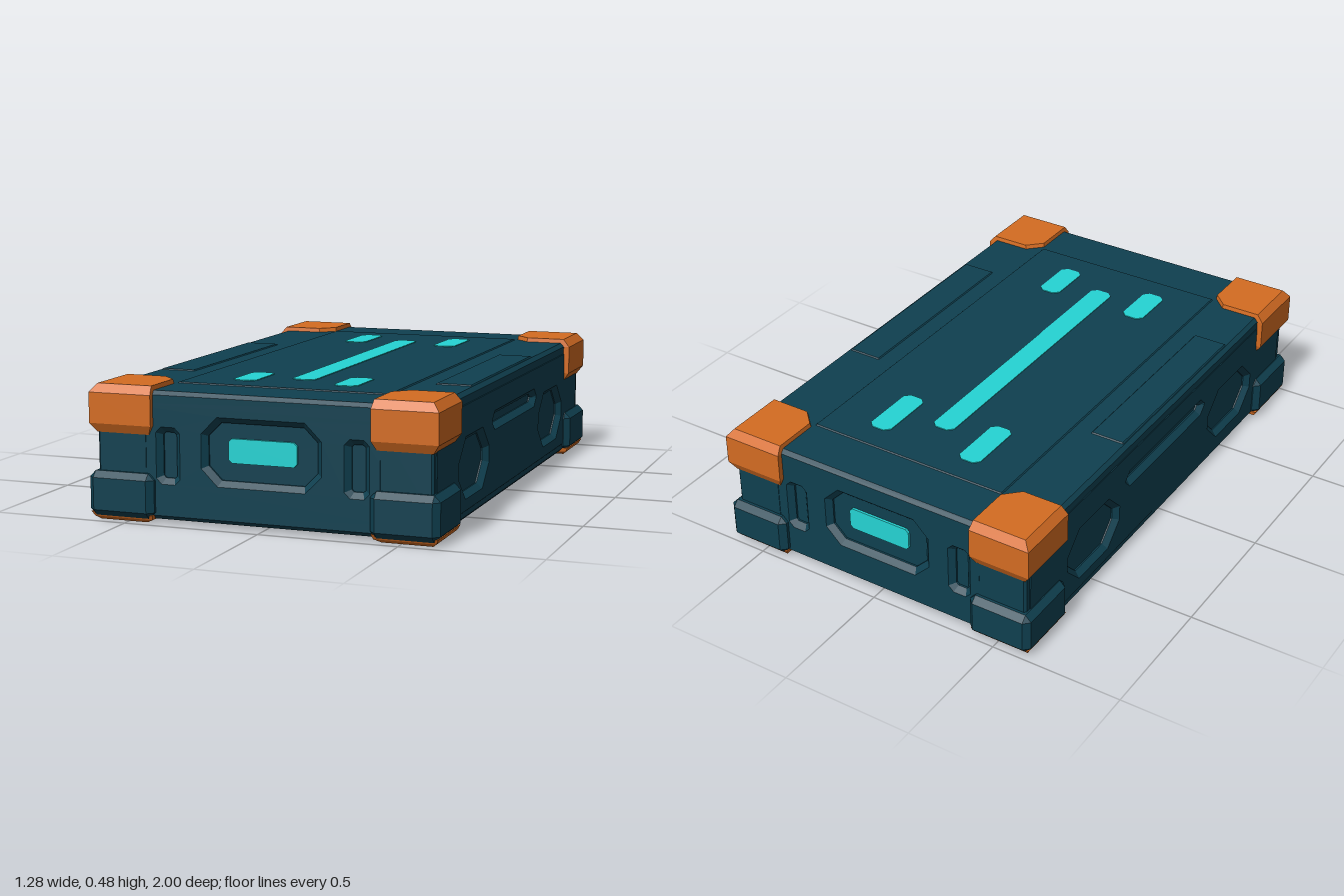
import * as THREE from 'three';
import { ConvexGeometry } from 'three/addons/geometries/ConvexGeometry.js';

export function createModel() {
  const root = new THREE.Group();
  root.name = 'storageCrate';
  const mat = (name, color) => {
    const m = new THREE.MeshStandardMaterial({ color });
    m.name = name;
    return m;
  };
  const teal = mat('dark teal shell', 0x0f4050);
  const orange = mat('orange guard', 0xd46c22);
  const cyan = mat('cyan light', 0x25d4d4);

  const add = (name, geo, material, x = 0, y = 0, z = 0) => {
    const m = new THREE.Mesh(geo, material);
    m.name = name;
    m.position.set(x, y, z);
    root.add(m);
    return m;
  };

  // Box with every edge and corner cut by c
  const chamferBox = (w, h, d, c) => {
    const pts = [];
    for (const x of [-1, 1]) for (const y of [-1, 1]) for (const z of [-1, 1])
      for (let k = 0; k < 3; k++)
        pts.push(new THREE.Vector3(
          x * (w / 2 - (k === 0 ? 0 : c)),
          y * (h / 2 - (k === 1 ? 0 : c)),
          z * (d / 2 - (k === 2 ? 0 : c))));
    return new ConvexGeometry(pts);
  };
  // Chamfered block from min and max corners
  const block = (name, material, a, b, c) =>
    add(name, chamferBox(b[0] - a[0], b[1] - a[1], b[2] - a[2], c), material,
      (a[0] + b[0]) / 2, (a[1] + b[1]) / 2, (a[2] + b[2]) / 2);

  // Octagonal outline centred on (x, y)
  const octagon = (target, x, y, w, h, c) => {
    const a = w / 2, b = h / 2;
    return target.setFromPoints([
      [-a + c, -b], [a - c, -b], [a, -b + c], [a, b - c],
      [a - c, b], [-a + c, b], [-a, b - c], [-a, -b + c], [-a + c, -b],
    ].map(([u, v]) => new THREE.Vector2(x + u, y + v)));
  };

  // Wall panel with sloping-edged recesses; outer face at local z = 0
  const wallPanel = (w, recesses) => {
    const s = octagon(new THREE.Shape(), 0, 0.235, w - 0.04, 0.37, 0.02);
    for (const r of recesses) s.holes.push(octagon(new THREE.Path(), ...r));
    return new THREE.ExtrudeGeometry(s, {
      depth: 0.02, bevelThickness: 0.02, bevelSize: 0.02, bevelSegments: 1, steps: 1,
    }).translate(0, 0, -0.04);
  };

  // Core and the top and bottom plates
  block('core', teal, [-0.59, 0.03, -0.94], [0.59, 0.45, 0.94], 0.01);
  block('topPlate', teal, [-0.613, 0.4, -0.967], [0.613, 0.464, 0.967], 0.014);
  block('bottomPlate', teal, [-0.613, 0.015, -0.967], [0.613, 0.08, 0.967], 0.014);
  block('lidPanel', teal, [-0.4, 0.44, -0.78], [0.4, 0.468, 0.78], 0.008);

  for (const s of [1, -1]) {
    const yaw = s > 0 ? 0 : Math.PI;

    // End walls with a lamp recess and two grip slots
    add('endWall', wallPanel(1.22, [
      [0, 0.265, 0.44, 0.24, 0.06], [0.345, 0.24, 0.09, 0.2, 0.02], [-0.345, 0.24, 0.09, 0.2, 0.02],
    ]), teal, 0, 0, s * 0.967).rotation.y = yaw;

    // Long walls with recesses either side of a raised middle
    add('sideWall', wallPanel(1.92, [
      [0.52, 0.2, 0.36, 0.22, 0.08], [-0.52, 0.2, 0.36, 0.22, 0.08], [0, 0.31, 0.6, 0.07, 0.03],
    ]), teal, s * 0.615, 0, 0).rotation.y = s * Math.PI / 2;

    // End lamp
    add('endLamp', new THREE.ExtrudeGeometry(
      octagon(new THREE.Shape(), 0, 0.27, 0.25, 0.085, 0.012),
      { depth: 0.009, bevelEnabled: false }), cyan, 0, 0, s * 0.941).rotation.y = yaw;

    // Low rails on the lid edges
    block('lidRail', teal, [s * 0.53 - 0.07, 0.44, -0.3], [s * 0.53 + 0.07, 0.468, 0.5], 0.008);
  }

  // Corner pieces: post, foot block, top guard and sole
  const cutPlan = (w, d, cut) => [[0, cut], [cut, 0], [w, 0], [w, d], [0, d]];
  for (const sx of [1, -1]) for (const sz of [1, -1]) {
    const span = (x0, x1, z0, z1) => [
      Math.min(sx * x0, sx * x1), Math.max(sx * x0, sx * x1),
      Math.min(sz * z0, sz * z1), Math.max(sz * z0, sz * z1)];
    const corner = (name, x0, x1, y0, y1, z0, z1, c) => {
      const [a, b, e, f] = span(x0, x1, z0, z1);
      block(name, teal, [a, y0, e], [b, y1, f], c);
    };
    corner('cornerPost', 0.42, 0.612, 0.1, 0.4, 0.76, 0.968, 0.008);
    corner('cornerFoot', 0.395, 0.64, 0.017, 0.175, 0.735, 1, 0.022);

    // Layers of a plan with its inner corner cut: [y, x0, x1, z0, z1]
    const guard = (name, layers, cut) => {
      const pts = [];
      for (const [y, x0, x1, z0, z1] of layers)
        for (const [u, v] of cutPlan(x1 - x0, z1 - z0, cut))
          pts.push(new THREE.Vector3(sx * (x0 + u), y, sz * (z0 + v)));
      add(name, new ConvexGeometry(pts), orange);
    };
    guard('cornerGuard', [
      [0.31, 0.415, 0.612, 0.745, 0.97], [0.342, 0.4, 0.635, 0.735, 0.987],
      [0.45, 0.4, 0.635, 0.735, 0.987], [0.48, 0.405, 0.61, 0.74, 0.965],
    ], 0.055);
    guard('cornerSole', [
      [0.03, 0.4, 0.635, 0.74, 0.985], [0.012, 0.405, 0.625, 0.745, 0.975],
      [0, 0.43, 0.61, 0.77, 0.96],
    ], 0.055);
  }

  // Light strips, as thin plates on the lid and the underside
  const strip = (name, x, z0, z1, y) => {
    const g = new THREE.ExtrudeGeometry(
      octagon(new THREE.Shape(), 0, 0, 0.088, z1 - z0, 0.02),
      { depth: 0.008, bevelEnabled: false }).rotateX(-Math.PI / 2);
    add(name, g, cyan, x, y, (z0 + z1) / 2);
  };
  for (const y of [0.463, 0.011]) {
    strip('centreStrip', 0, -0.56, 0.59, y);
    for (const x of y > 0.1 ? [-0.19, 0.19] : [-0.2]) {
      strip('shortStrip', x, -0.68, -0.44, y);
      strip('shortStrip', x, 0.475, 0.675, y);
    }
  }
  return root;
}
